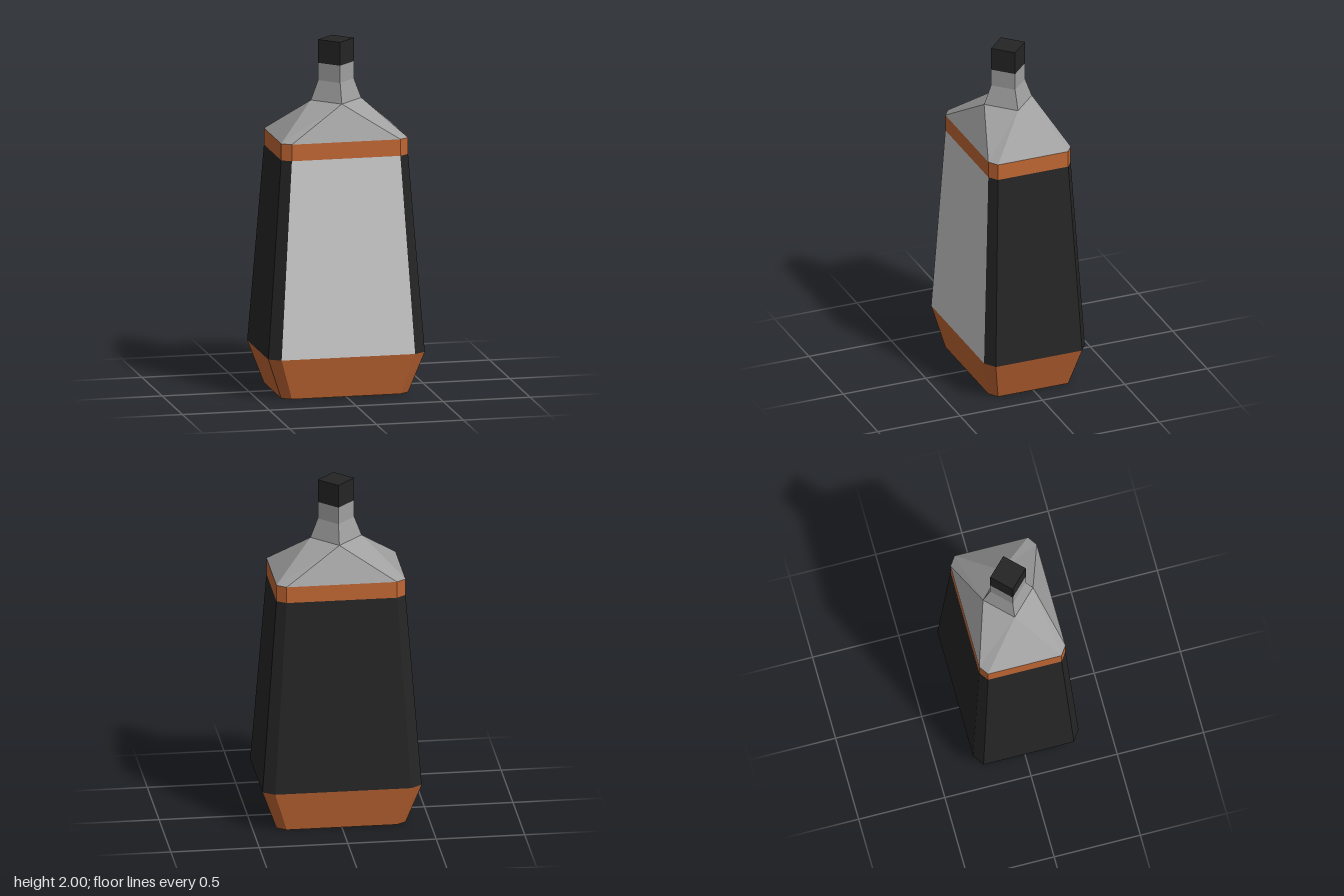
import * as THREE from 'three';

const material = (color) => new THREE.MeshStandardMaterial({ color, flatShading: true });

// Bevelled rectangle: outer half sizes hx, hz; flat sides end at cx, cz.
// Starts with the front side, then runs round through +x.
function octagon(y, hx, hz, cx, cz) {
  return [[-cx, hz], [cx, hz], [hx, cz], [hx, -cz], [cx, -hz], [-cx, -hz], [-hx, -cz], [-hx, cz]]
    .map(([x, z]) => new THREE.Vector3(x, y, z));
}

// Diamond with doubled corners, so that it pairs with the octagon
function diamond(y, r) {
  return octagon(y, r, r, 0, 0);
}

// Joins stacked rings; sides picks the faces, capBottom / capTop close the ends
function loft(rings, { sides = [0, 1, 2, 3, 4, 5, 6, 7], capBottom = false, capTop = false } = {}) {
  const pos = [];
  const tri = (a, b, c) => {
    if (new THREE.Triangle(a, b, c).getArea() > 1e-7) pos.push(...a, ...b, ...c);
  };
  for (let k = 0; k + 1 < rings.length; k++) {
    const low = rings[k], high = rings[k + 1];
    for (const i of sides) {
      const j = (i + 1) % 8;
      tri(low[i], low[j], high[j]);
      tri(low[i], high[j], high[i]);
    }
  }
  const first = rings[0], last = rings[rings.length - 1];
  for (let i = 1; i < 7; i++) {
    if (capBottom) tri(first[0], first[i + 1], first[i]);
    if (capTop) tri(last[0], last[i], last[i + 1]);
  }
  const geometry = new THREE.BufferGeometry();
  geometry.setAttribute('position', new THREE.Float32BufferAttribute(pos, 3));
  geometry.computeVertexNormals();
  return geometry;
}

export function createModel() {
  const group = new THREE.Group();
  const orange = material(0xc06633);
  const black = material(0x252525);
  const glass = material(0xa0a0a0);
  const pale = material(0xcccccc);

  const add = (name, geometry, mat) => {
    const mesh = new THREE.Mesh(geometry, mat);
    mesh.name = name;
    group.add(mesh);
  };

  const foot = octagon(0, 0.365, 0.25, 0.312, 0.213);
  const waist = octagon(0.237, 0.45, 0.306, 0.384, 0.262);
  const bandLow = octagon(1.365, 0.365, 0.25, 0.312, 0.213);
  const bandHigh = octagon(1.46, 0.365, 0.25, 0.312, 0.213);
  const neckFoot = diamond(1.655, 0.145);
  const neckLow = diamond(1.767, 0.103);
  const capLow = diamond(1.866, 0.103);
  const capHigh = diamond(2, 0.103);

  // Tapered base and straight upper band
  add('base', loft([foot, waist], { capBottom: true }), orange);
  add('upperBand', loft([bandLow, bandHigh]), orange);

  // Body: pale front panel, dark on the other seven sides
  add('frontPanel', loft([waist, bandLow], { sides: [0] }), pale);
  add('body', loft([waist, bandLow], { sides: [1, 2, 3, 4, 5, 6, 7] }), black);

  // Shoulder narrowing to a diamond-shaped neck, with its stopper
  add('shoulder', loft([bandHigh, neckFoot]), glass);
  add('neck', loft([neckFoot, neckLow, capLow]), glass);
  add('stopper', loft([capLow, capHigh], { capTop: true }), black);

  return group;
}
